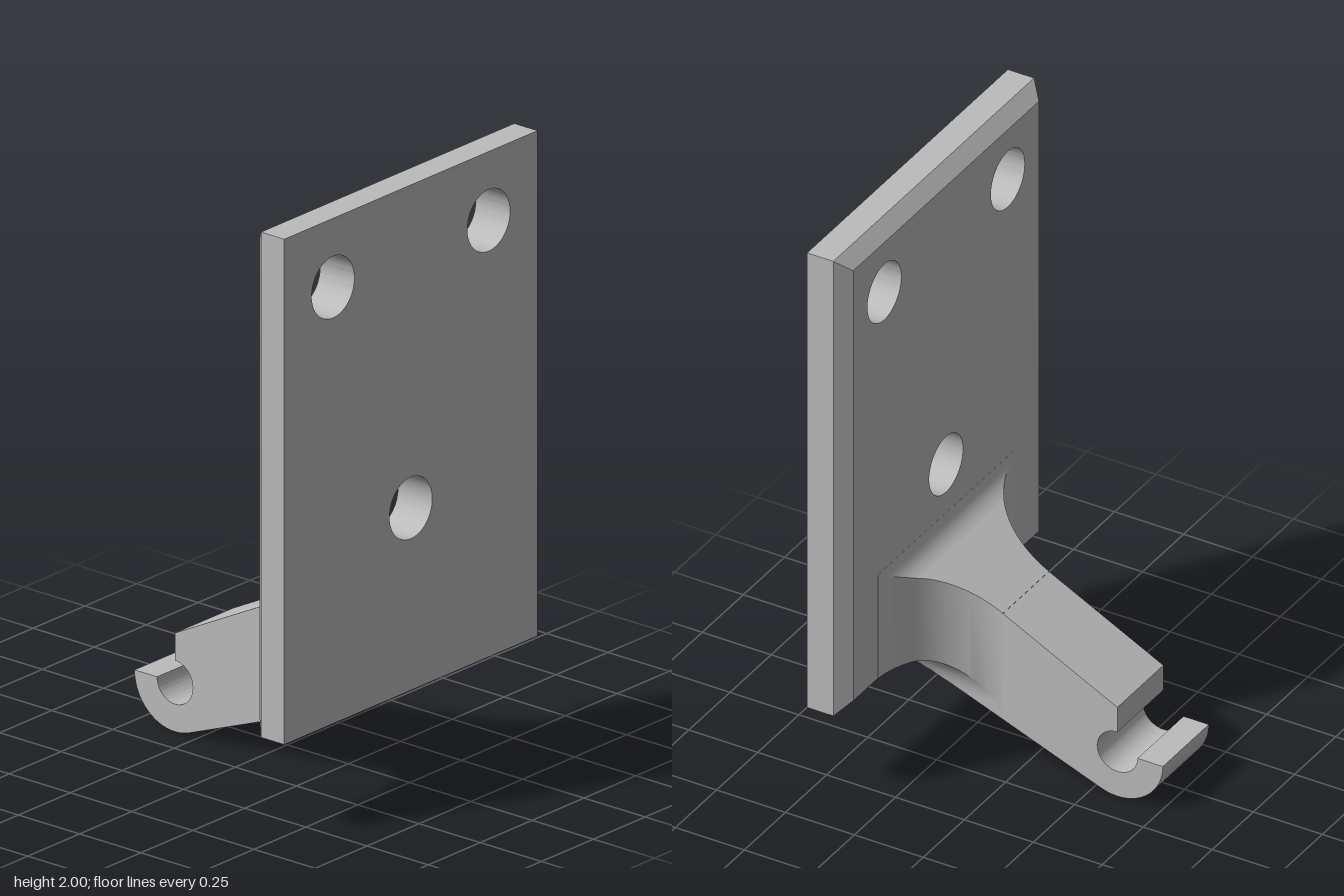
import * as THREE from 'three';
import { toCreasedNormals } from 'three/addons/utils/BufferGeometryUtils.js';

const grey = new THREE.MeshStandardMaterial({ color: 0xbcbcbc });
grey.name = 'plain grey';

const HALF = 0.14; // half width of the arm
const ROOT = 0.075; // z where the arm starts to flare
const BACK = 0.365; // z of the plate's rear face
const underside = z => 0.01 + 0.381 * (z + 0.283);

function part(name, geometry) {
  const mesh = new THREE.Mesh(toCreasedNormals(geometry, 0.5), grey);
  mesh.name = name;
  return mesh;
}

// Plate with three screw holes and a chamfer around its rear face
function plate() {
  const w = 0.61, bottom = 0.31, top = 2, chamfer = 0.046;
  const shape = new THREE.Shape();
  shape.moveTo(-w, bottom).lineTo(w, bottom).lineTo(w, top).lineTo(-w, top).closePath();
  for (const [x, y] of [[-0.375, 1.77], [0.375, 1.77], [0, 0.92]]) {
    shape.holes.push(new THREE.Path().absarc(x, y, 0.103, 0, Math.PI * 2, true));
  }
  const geo = new THREE.ExtrudeGeometry(shape, { depth: 2, steps: 2, bevelEnabled: false, curveSegments: 32 });
  const p = geo.attributes.position;
  const layers = [BACK, 0.41, 0.505];
  for (let i = 0; i < p.count; i++) {
    const layer = Math.round(p.getZ(i));
    const x = p.getX(i), y = p.getY(i);
    if (layer === 0 && Math.abs(x) > w - 0.01) {
      p.setX(i, x - Math.sign(x) * chamfer);
      p.setY(i, y > 1 ? y - chamfer : y + chamfer);
    }
    p.setZ(i, layers[layer]);
  }
  return part('mountingPlate', geo);
}

// Straight arm ending in an open hook, drawn from the side and extruded across x
function arm() {
  const cx = 0.34, cy = 0.165;
  const s = new THREE.Shape();
  s.moveTo(-ROOT, underside(ROOT));
  s.lineTo(0.283, underside(-0.283));
  s.absarc(cx, cy, 0.165, -1.93, 0, false);
  s.lineTo(cx + 0.073, cy);
  s.absarc(cx, cy, 0.073, 0, -Math.PI * 1.5, true);
  s.lineTo(cx, 0.33);
  s.lineTo(-ROOT, 0.54);
  s.closePath();
  const geo = new THREE.ExtrudeGeometry(s, { depth: HALF * 2, bevelEnabled: false, curveSegments: 32 });
  geo.translate(0, 0, -HALF).rotateY(Math.PI / 2);
  return part('hookArm', geo);
}

// Height of the flare's top: sloping, then curving up into the plate
function topAt(z) {
  if (z < 0.305) return 0.33 + 0.508 * (z + 0.34);
  const q = Math.max(0, (BACK - z) / 0.06), s = 1 - Math.sqrt(q);
  return q * 0.657 + 2 * s * (1 - s) * 0.688 + s * s * 0.75;
}

// Height of the flare's underside: sloped in the middle, filleted to each side
function bottomAt(a, z) {
  const d = Math.min(1, (a - HALF) / 0.14);
  const fillet = 0.2 + 0.155 * Math.sqrt(1 - (1 - d) ** 2);
  return Math.max(underside(z), fillet);
}

// Flared root: cross-sections lofted along z, ending inside the plate
function flare() {
  const stations = [];
  for (let i = 0; i <= 24; i++) {
    const t = (i / 24) * 1.52;
    stations.push([ROOT + 0.29 * Math.sin(t), HALF + 0.29 * (1 - Math.cos(t))]);
  }
  const wide = stations[24][1];
  stations.push([0.41, wide], [0.504, wide]);

  const K = 14, pos = [], idx = [];
  let ring = 0;
  stations.forEach(([z, w], i) => {
    const right = [];
    for (let k = K; k >= 0; k--) {
      const a = HALF + (w - HALF) * (k / K) ** 2;
      right.push([a, bottomAt(a, z)]);
    }
    right.push([HALF, underside(z)]);
    const left = right.map(([x, y]) => [-x, y]).reverse();
    const section = [[-w, topAt(z)], [w, topAt(z)], ...right, ...left];
    ring = section.length;
    for (const [x, y] of section) pos.push(x, y, z);
    if (i === 0) return;
    for (let j = 0; j < ring; j++) {
      const n = (j + 1) % ring, a = (i - 1) * ring, b = i * ring;
      idx.push(a + j, b + j, a + n, a + n, b + j, b + n);
    }
  });
  const geo = new THREE.BufferGeometry();
  geo.setAttribute('position', new THREE.Float32BufferAttribute(pos, 3));
  geo.setIndex(idx);
  return part('flaredRoot', geo);
}

export function createModel() {
  const model = new THREE.Group();
  model.name = 'wallHook';
  model.add(plate(), arm(), flare());
  return model;
}
